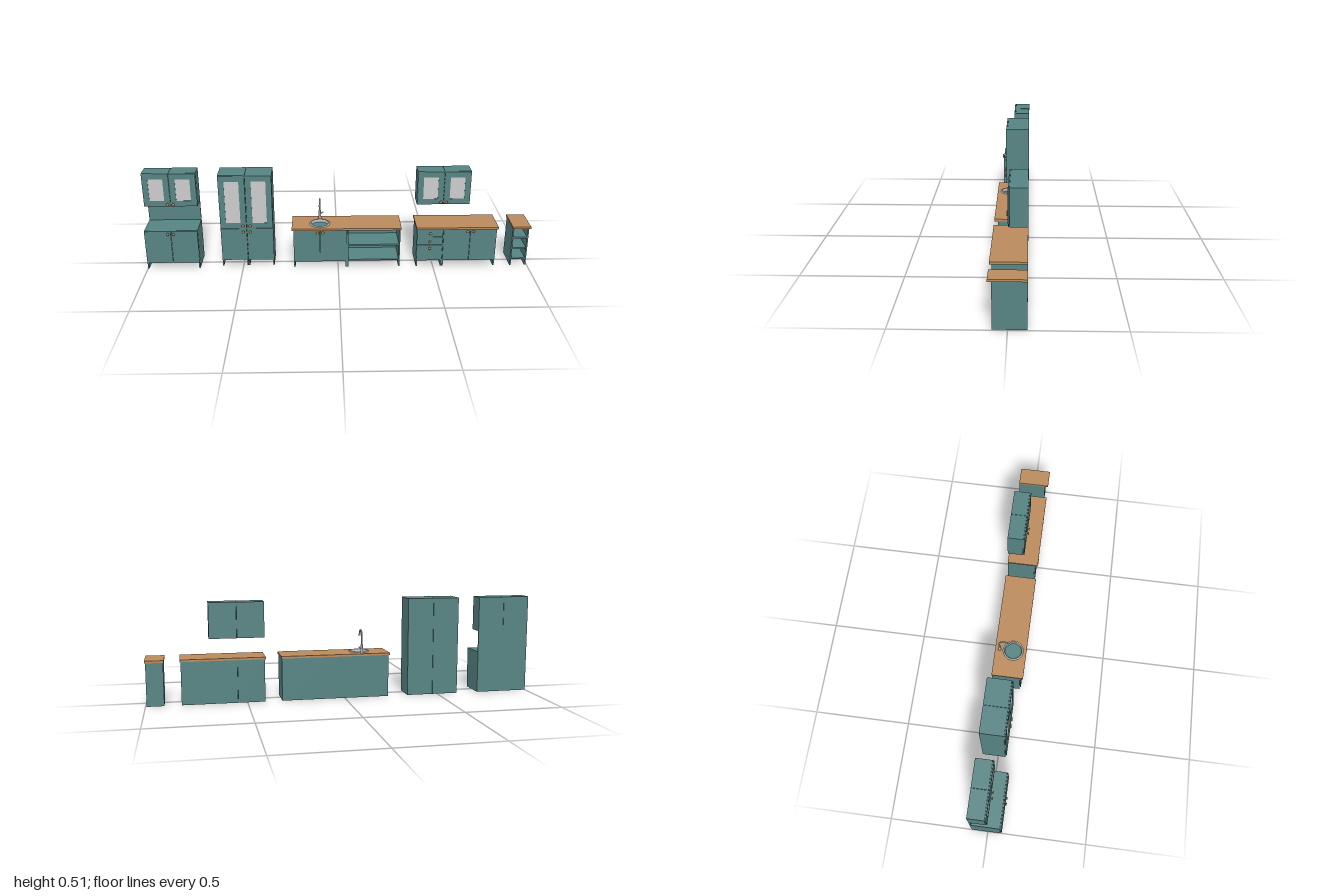
import * as THREE from 'three';

const mat = (name, color) => Object.assign(new THREE.MeshStandardMaterial({ color }), { name });

export function createModel() {
  const teal = mat('teal paint', 0x568383);
  const wood = mat('warm wood', 0xbb8a5c);
  const glass = mat('frosted glass', 0xcccccc);
  const metal = mat('brushed metal', 0xbdbfc0);
  metal.side = THREE.DoubleSide;

  const BACK = -0.082, T = 0.007, FLOOR = 0.035, TOP = 0.217;

  const root = new THREE.Group();
  root.name = 'kitchenFurniture';

  const group = (name) => {
    const g = new THREE.Group();
    g.name = name;
    root.add(g);
    return g;
  };
  const add = (parent, name, geometry, material) => {
    const m = new THREE.Mesh(geometry, material);
    m.name = name;
    parent.add(m);
    return m;
  };
  // Box given by its limits on each axis
  const box = (parent, name, x0, x1, y0, y1, z0, z1, material = teal) => {
    const m = add(parent, name, new THREE.BoxGeometry(x1 - x0, y1 - y0, z1 - z0), material);
    m.position.set((x0 + x1) / 2, (y0 + y1) / 2, (z0 + z1) / 2);
    return m;
  };

  // Open cabinet shell: sides and back reach y0, the bottom board sits at "bottom"
  const carcass = (parent, x0, x1, y0, y1, front, bottom, shelves = []) => {
    box(parent, 'leftSide', x1 - T, x1, y0, y1, BACK + T, front);
    box(parent, 'rightSide', x0, x0 + T, y0, y1, BACK + T, front);
    box(parent, 'backPanel', x0, x1, y0, y1, BACK, BACK + T);
    box(parent, 'topBoard', x0 + T, x1 - T, y1 - T, y1, BACK + T, front);
    for (const y of [bottom, ...shelves])
      box(parent, 'shelf', x0 + T, x1 - T, y, y + T, BACK + T, front);
  };

  // Round knob with a slim stem
  const knobProfile = [[0, 0], [0.003, 0], [0.003, 0.004], [0.0075, 0.006], [0.0075, 0.008], [0.005, 0.01], [0, 0.01]]
    .map(([r, y]) => new THREE.Vector2(r, y));
  const knob = (parent, x, y, z) => {
    const m = add(parent, 'knob', new THREE.LatheGeometry(knobProfile, 16), wood);
    m.rotation.x = Math.PI / 2;
    m.position.set(x, y, z);
  };

  const G = 0.001; // half gap round each front
  const front = (parent, name, x0, x1, y0, y1, z) =>
    box(parent, name, x0 + G, x1 - G, y0 + G, y1 - G, z + 0.001, z + T);

  // Framed door with a recessed pane
  const glassDoor = (parent, x0, x1, y0, y1, z) => {
    const F = 0.031;
    const rect = (Cls, a, b, c, d) => {
      const s = new Cls();
      s.moveTo(a, c); s.lineTo(b, c); s.lineTo(b, d); s.lineTo(a, d); s.closePath();
      return s;
    };
    const shape = rect(THREE.Shape, x0 + G, x1 - G, y0 + G, y1 - G);
    shape.holes.push(rect(THREE.Path, x0 + F, x1 - F, y0 + F, y1 - F));
    const frame = add(parent, 'glassDoorFrame',
      new THREE.ExtrudeGeometry(shape, { depth: 0.006, bevelEnabled: false }), teal);
    frame.position.z = z + 0.001;
    box(parent, 'pane', x0 + F, x1 - F, y0 + F, y1 - F, z + 0.002, z + 0.005, glass);
  };

  // Pair of doors with knobs next to the seam
  const doorPair = (parent, x0, x1, y0, y1, z, knobY, glazed = false, dx = 0.014) => {
    const c = (x0 + x1) / 2;
    for (const [a, b] of [[x0, c], [c, x1]]) {
      if (glazed) glassDoor(parent, a, b, y0, y1, z);
      else front(parent, 'door', a, b, y0, y1, z);
    }
    for (const s of [-1, 1]) knob(parent, c + s * dx, knobY, z + T);
  };

  // Two narrow shells side by side, as used in the upper and tall cabinets
  const twinCarcass = (parent, x0, x1, y0, y1, z, bottom, shelves) => {
    const c = (x0 + x1) / 2;
    carcass(parent, x0, c - 0.0007, y0, y1, z, bottom, shelves);
    carcass(parent, c + 0.0007, x1, y0, y1, z, bottom, shelves);
  };
  const wallCabinet = (parent, x0, x1) => {
    twinCarcass(parent, x0, x1, 0.328, 0.508, 0, 0.328, [0.42]);
    doorPair(parent, x0, x1, 0.328, 0.508, 0, 0.342, true);
  };

  // Hutch: base cabinet, tall back board and glazed upper cabinet
  const hutch = group('hutch');
  carcass(hutch, -1, -0.725, 0, TOP, 0.065, FLOOR, [0.125]);
  doorPair(hutch, -1, -0.725, FLOOR, TOP, 0.065, 0.203);
  box(hutch, 'backBoard', -1, -0.725, TOP, 0.328, BACK, BACK + T);
  wallCabinet(hutch, -1, -0.725);

  // Tall cupboard
  const tall = group('tallCupboard');
  twinCarcass(tall, -0.61, -0.337, 0, 0.508, 0.038, FLOOR, [0.125, 0.215, 0.31, 0.41]);
  doorPair(tall, -0.61, -0.337, FLOOR, TOP, 0.038, 0.2, false, 0.018);
  doorPair(tall, -0.61, -0.337, TOP, 0.508, 0.038, 0.234, true, 0.018);

  // Sink unit: door cabinet and open shelf cabinet
  const sinkUnit = group('sinkUnit');
  carcass(sinkUnit, -0.232, 0.046, 0, TOP, 0.065, FLOOR);
  doorPair(sinkUnit, -0.232, 0.046, FLOOR, TOP, 0.065, 0.203);
  carcass(sinkUnit, 0.047, 0.324, 0, TOP, 0.065, FLOOR, [0.122]);

  // Worktop with a round cut-out
  const SX = -0.095, SZ = 0.013;
  const slab = new THREE.Shape();
  slab.moveTo(-0.24, -0.082); slab.lineTo(0.327, -0.082);
  slab.lineTo(0.327, 0.082); slab.lineTo(-0.24, 0.082); slab.closePath();
  const hole = new THREE.Path();
  hole.absarc(SX, -SZ, 0.046, 0, Math.PI * 2, true);
  slab.holes.push(hole);
  const worktop = add(sinkUnit, 'sinkWorktop',
    new THREE.ExtrudeGeometry(slab, { depth: 0.011, bevelEnabled: false, curveSegments: 32 }), wood);
  worktop.rotation.x = -Math.PI / 2;
  worktop.position.y = TOP;

  // Basin with rolled rim
  const basinProfile = [[0.001, -0.035], [0.03, -0.035], [0.039, -0.03], [0.043, -0.02],
    [0.044, 0.003], [0.047, 0.005], [0.051, 0.004], [0.053, 0]]
    .map(([r, y]) => new THREE.Vector2(r, y));
  const basin = add(sinkUnit, 'basin', new THREE.LatheGeometry(basinProfile, 40), metal);
  basin.position.set(SX, 0.228, SZ);
  const drain = add(sinkUnit, 'drain', new THREE.CylinderGeometry(0.007, 0.007, 0.002, 16), metal);
  drain.position.set(SX, 0.194, SZ);

  // Tap: flange, body, swan neck and lever
  const tap = new THREE.Group();
  tap.name = 'tap';
  tap.position.set(SX, 0.228, -0.058);
  sinkUnit.add(tap);
  const cyl = (name, r0, r1, h, y) =>
    add(tap, name, new THREE.CylinderGeometry(r0, r1, h, 20), metal).position.set(0, y, 0);
  cyl('tapFlange', 0.008, 0.009, 0.005, 0.0025);
  cyl('tapBody', 0.0055, 0.0065, 0.04, 0.024);
  const neck = new THREE.CatmullRomCurve3([[0.04, 0], [0.092, 0], [0.108, 0.006], [0.117, 0.022],
    [0.112, 0.04], [0.1, 0.048], [0.086, 0.051]].map(([y, z]) => new THREE.Vector3(0, y, z)));
  add(tap, 'tapNeck', new THREE.TubeGeometry(neck, 36, 0.0042, 12), metal);
  const nozzle = add(tap, 'tapNozzle', new THREE.CylinderGeometry(0.005, 0.005, 0.01, 16), metal);
  nozzle.position.set(0, 0.09, 0.05);
  nozzle.rotation.x = -0.2;
  const lever = new THREE.LineCurve3(new THREE.Vector3(0, 0.02, 0), new THREE.Vector3(0.018, 0.034, -0.003));
  add(tap, 'tapLever', new THREE.TubeGeometry(lever, 1, 0.0028, 10), metal);

  // Drawer unit: three drawers, double cabinet and worktop
  const drawers = group('drawerUnit');
  carcass(drawers, 0.41, 0.546, 0, TOP, 0.065, FLOOR);
  [[0.172, TOP, 0.194], [0.127, 0.172, 0.147], [FLOOR, 0.127, 0.109]].forEach(([y0, y1, ky]) => {
    front(drawers, 'drawerFront', 0.41, 0.546, y0, y1, 0.065);
    knob(drawers, 0.478, ky, 0.072);
  });
  carcass(drawers, 0.547, 0.825, 0, TOP, 0.065, FLOOR, [0.122]);
  doorPair(drawers, 0.547, 0.825, FLOOR, TOP, 0.065, 0.203);
  box(drawers, 'worktop', 0.405, 0.83, TOP, 0.228, -0.082, 0.082, wood);

  // Glazed wall cabinet
  wallCabinet(group('wallCabinet'), 0.41, 0.685);

  // Narrow open shelf unit
  const shelfUnit = group('openShelfUnit');
  carcass(shelfUnit, 0.909, 0.994, 0, TOP, 0.065, FLOOR, [0.095, 0.156]);
  box(shelfUnit, 'worktop', 0.905, 0.999, TOP, 0.228, -0.082, 0.082, wood);

  return root;
}
